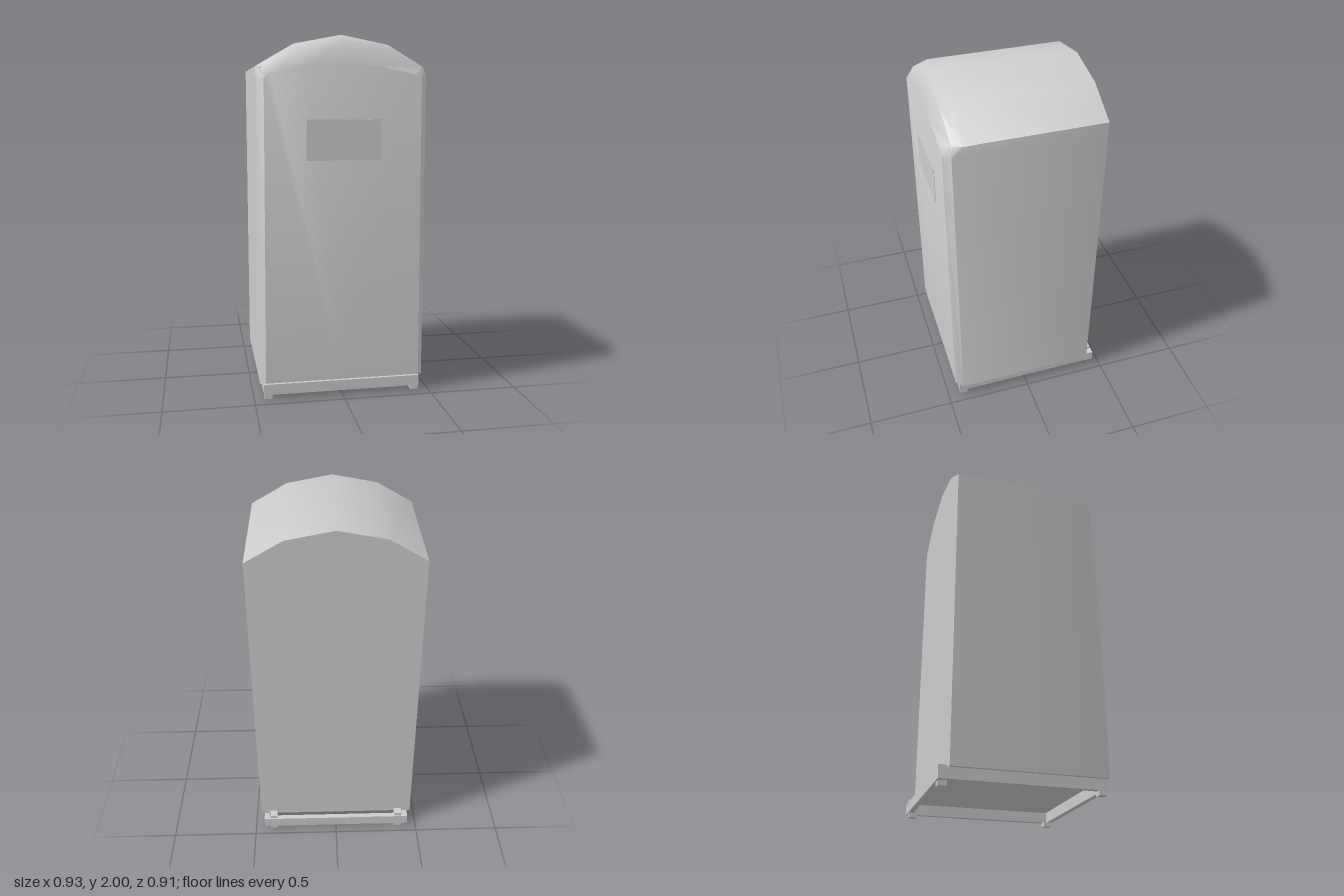
import * as THREE from 'three';
import { toCreasedNormals } from 'three/addons/utils/BufferGeometryUtils.js';

const grey = () => new THREE.MeshStandardMaterial({ color: 0xcccccc });

function add(parent, name, geometry) {
  const mesh = new THREE.Mesh(geometry, grey());
  mesh.name = name;
  parent.add(mesh);
  return mesh;
}

function block(parent, name, [x0, x1], [y0, y1], [z0, z1]) {
  add(parent, name, new THREE.BoxGeometry(x1 - x0, y1 - y0, z1 - z0))
    .position.set((x0 + x1) / 2, (y0 + y1) / 2, (z0 + z1) / 2);
}

// Mirrors a half outline (bottom to apex) into a full loop
function mirrorLoop(half) {
  const left = half.slice(0, -1).reverse().map(([x, y, z]) => [-x, y, z]);
  return [...half, ...left];
}

// Skins loops from back to front and closes both ends with fans
function loft(halves) {
  const loops = halves.map(mirrorLoop);
  const pos = [];
  const tri = (a, b, c) => pos.push(...a, ...b, ...c);
  const n = loops[0].length;
  for (let i = 0; i < loops.length - 1; i++) {
    for (let j = 0; j < n; j++) {
      const k = (j + 1) % n;
      const [a, b, c, d] = [loops[i][j], loops[i][k], loops[i + 1][k], loops[i + 1][j]];
      tri(a, b, c);
      tri(a, c, d);
    }
  }
  const back = loops[0], front = loops[loops.length - 1];
  const middle = (loop) => [0, loop[0][1], loop[0][2]];
  for (let j = 0; j < n - 1; j++) {
    tri(middle(front), front[j], front[j + 1]);
    tri(middle(back), back[j + 1], back[j]);
  }
  const g = new THREE.BufferGeometry();
  g.setAttribute('position', new THREE.Float32BufferAttribute(pos, 3));
  return toCreasedNormals(g, 0.7);
}

export function createModel() {
  const model = new THREE.Group();
  model.name = 'cabin';

  // Cabin shell: walls, arched roof and chamfered front
  add(model, 'shell', loft([
    [[0.465, 0.085, -0.41], [0.465, 1.77, -0.41], [0.465, 1.83, -0.41], [0.26, 1.95, -0.41], [0, 2, -0.41]],
    [[0.465, 0.085, 0.41], [0.465, 1.77, 0.41], [0.465, 1.83, 0.355], [0.26, 1.95, 0.355], [0, 2, 0.355]],
    [[0.435, 0.1, 0.45], [0.428, 1.77, 0.45], [0.438, 1.83, 0.405], [0.25, 1.92, 0.405], [0, 1.97, 0.405]],
    [[0.435, 0.1, 0.45], [0.428, 1.77, 0.45], [0.39, 1.79, 0.45], [0.2, 1.83, 0.45], [0, 1.845, 0.45]],
  ]));

  // Thin plate on the door
  block(model, 'doorPlate', [-0.205, 0.205], [1.33, 1.55], [0.445, 0.452]);

  // Open base frame
  const rect = (path, x, z0, z1) => {
    path.moveTo(-x, z0).lineTo(x, z0).lineTo(x, z1).lineTo(-x, z1).closePath();
    return path;
  };
  const outline = rect(new THREE.Shape(), 0.445, -0.43, 0.462);
  outline.holes.push(rect(new THREE.Path(), 0.415, -0.4, 0.432));
  const frame = new THREE.ExtrudeGeometry(outline, { depth: 0.06, bevelEnabled: false });
  frame.rotateX(-Math.PI / 2).translate(0, 0.025, 0);
  add(model, 'baseFrame', frame);

  // Feet; the rear ones are posts that rise above the frame
  for (const side of [-1, 1]) {
    const span = (a, b) => (side > 0 ? [a, b] : [-b, -a]);
    block(model, 'frontFoot', span(0.4, 0.443), [0, 0.03], [0.38, 0.425]);
    block(model, 'rearPost', span(0.365, 0.408), [0, 0.105], [-0.455, -0.408]);
  }
  return model;
}
